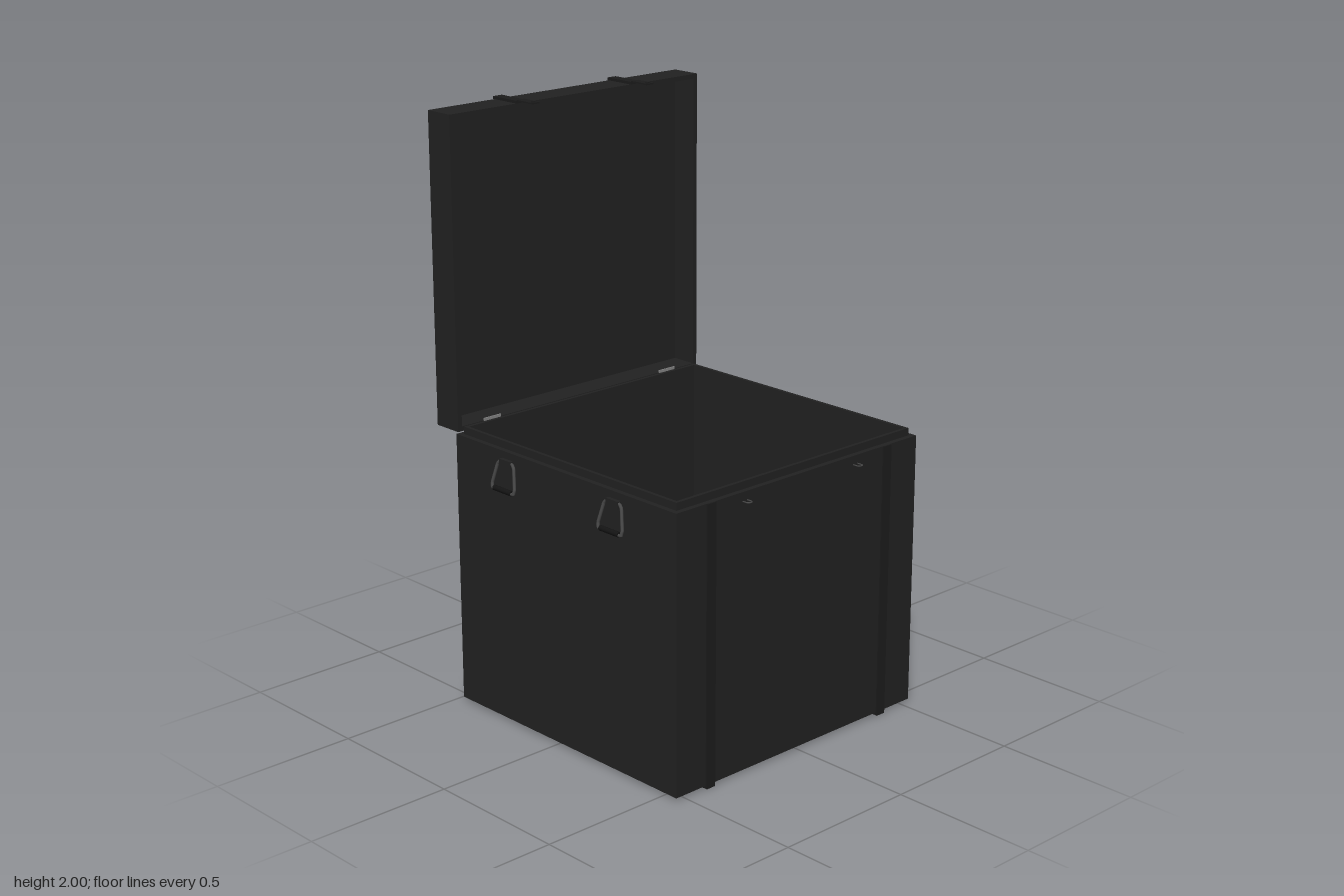
import * as THREE from 'three';

const mat = (name, color) => {
  const m = new THREE.MeshStandardMaterial({ color });
  m.name = name;
  return m;
};

export function createModel() {
  const shell = mat('charcoal shell', 0x222222);
  const strapMat = mat('black strap', 0x1c1c1c);
  const steel = mat('dark steel', 0x484848);
  const gripMat = mat('black grip', 0x141414);
  const hingeMat = mat('hinge grey', 0x858585);
  const root = new THREE.Group();
  root.name = 'openTrunk';

  const add = (parent, name, geometry, material, x = 0, y = 0, z = 0) => {
    const mesh = new THREE.Mesh(geometry, material);
    mesh.name = name;
    mesh.position.set(x, y, z);
    parent.add(mesh);
    return mesh;
  };
  // Box given by its minimum and maximum corners
  const block = (parent, name, material, [x0, y0, z0], [x1, y1, z1]) =>
    add(parent, name, new THREE.BoxGeometry(x1 - x0, y1 - y0, z1 - z0), material,
      (x0 + x1) / 2, (y0 + y1) / 2, (z0 + z1) / 2);
  // Rectangular frame extruded along z
  const frame = (w, h, t, depth) => {
    const rect = (p, a, b) => p.moveTo(-a, -b).lineTo(a, -b).lineTo(a, b).lineTo(-a, b).closePath();
    const s = rect(new THREE.Shape(), w / 2, h / 2);
    s.holes.push(rect(new THREE.Path(), w / 2 - t, h / 2 - t));
    return new THREE.ExtrudeGeometry(s, { depth, bevelEnabled: false });
  };
  // Round wire through straight segments
  const wire = (points, r) => {
    const path = new THREE.CurvePath();
    const v = points.map(p => new THREE.Vector3(...p));
    for (let i = 1; i < v.length; i++) path.add(new THREE.LineCurve3(v[i - 1], v[i]));
    return new THREE.TubeGeometry(path, (v.length - 1) * 8, r, 8);
  };

  // Hollow body with a raised inner lip
  const body = new THREE.Group();
  body.name = 'body';
  root.add(body);
  const cx = 0.0385;
  const walls = add(body, 'walls', frame(1.037, 1.07, 0.018, 0.93), shell, cx, 0.01, 0);
  walls.rotation.x = -Math.PI / 2;
  const lip = add(body, 'innerLip', frame(1.001, 1.034, 0.012, 0.935), shell, cx, 0.03, 0);
  lip.rotation.x = -Math.PI / 2;
  block(body, 'floor', shell, [-0.47, 0.01, -0.525], [0.547, 0.03, 0.525]);

  // Lid standing upright, its hollow side towards +x
  const lid = new THREE.Group();
  lid.name = 'lid';
  root.add(lid);
  const rim = add(lid, 'lidRim', frame(1.07, 1.04, 0.016, 0.107), shell, -0.577, 1.468, 0);
  rim.rotation.y = Math.PI / 2;
  block(lid, 'lidPanel', shell, [-0.577, 0.956, -0.525], [-0.562, 1.98, 0.525]);

  for (const s of [-1, 1]) {
    // Reinforcing bands around the body
    const z = s * 0.392;
    block(body, 'frontBand', strapMat, [0.557, 0, z - 0.018], [0.563, 0.94, z + 0.018]);
    block(body, 'rearBand', strapMat, [-0.486, 0, z - 0.018], [-0.48, 0.935, z + 0.018]);
    block(body, 'bottomBand', strapMat, [-0.486, 0, z - 0.018], [0.563, 0.01, z + 0.018]);

    // Hinges
    const barrel = add(root, 'hingeBarrel', new THREE.CylinderGeometry(0.006, 0.006, 0.072, 12),
      hingeMat, -0.467, 0.948, z);
    barrel.rotation.x = Math.PI / 2;
    block(root, 'hingeLeaf', hingeMat, [-0.472, 0.948, z - 0.036], [-0.468, 0.972, z + 0.036]);

    // Lid bands and closing straps
    const lz = s * 0.247;
    block(lid, 'lidBand', strapMat, [-0.583, 0.948, lz - 0.018], [-0.577, 1.997, lz + 0.018]);
    block(lid, 'closingStrap', strapMat, [-0.583, 1.988, lz - 0.018], [-0.468, 1.997, lz + 0.018]);
    block(lid, 'strapTongue', strapMat, [-0.468, 1.995, lz - 0.016], [-0.415, 2, lz + 0.016]);
    const buckle = add(lid, 'strapBuckle', frame(0.024, 0.032, 0.006, 0.005), strapMat, -0.405, 1.995, lz);
    buckle.rotation.x = -Math.PI / 2;

    // Wire catches on the body
    add(body, 'catchLoop', wire([[0.555, 0.91, lz - 0.01], [0.576, 0.91, lz - 0.01],
      [0.581, 0.91, lz - 0.005], [0.581, 0.91, lz + 0.005],
      [0.576, 0.91, lz + 0.01], [0.555, 0.91, lz + 0.01]], 0.0022), steel);

    // Tilted carrying handles on both sides
    for (const x of [-0.221, 0.286]) {
      const handle = new THREE.Group();
      handle.name = 'carryHandle';
      handle.position.set(x, 0.908, s * 0.542);
      handle.rotation.x = -s * 0.17;
      root.add(handle);
      add(handle, 'handleWire', wire([[-0.03, 0, 0], [-0.04, -0.012, 0], [-0.055, -0.078, 0],
        [-0.052, -0.094, 0], [0.052, -0.094, 0], [0.055, -0.078, 0],
        [0.04, -0.012, 0], [0.03, 0, 0], [-0.03, 0, 0]], 0.0055), steel);
      const grip = add(handle, 'handleGrip', new THREE.CylinderGeometry(0.009, 0.009, 0.084, 12),
        gripMat, 0, -0.092, 0);
      grip.rotation.z = Math.PI / 2;
      block(root, 'handleMount', shell, [x - 0.027, 0.892, s * 0.541 - 0.007], [x + 0.027, 0.916, s * 0.541 + 0.007]);
    }
  }
  return root;
}
